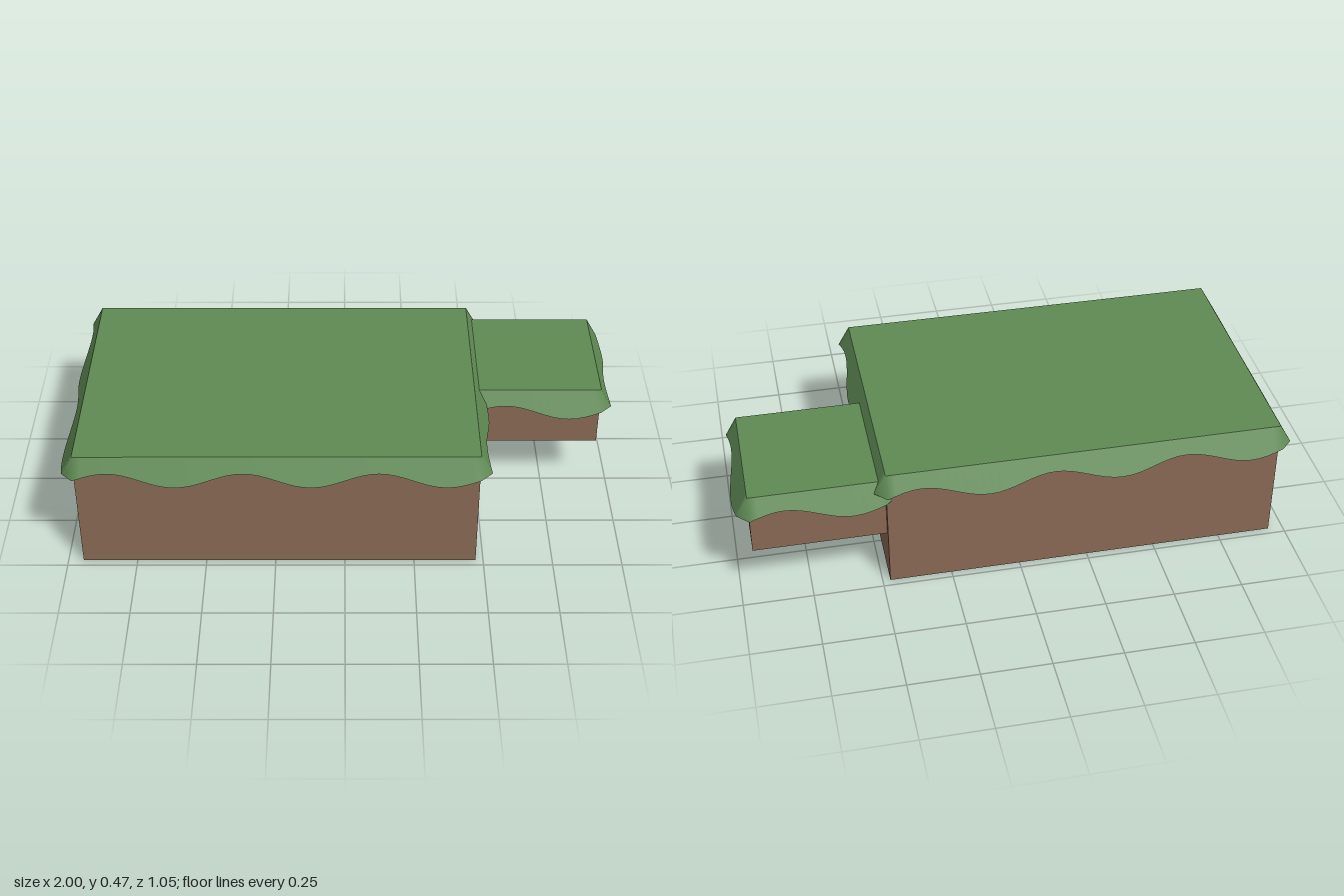
import * as THREE from 'three';
import { mergeVertices } from 'three/addons/utils/BufferGeometryUtils.js';

const TILE = 0.4727;          // one wave of the grass edge per tile
const DROP = 0.0725, WAVE = 0.021, FLARE = 0.577;
const STEPS = 16;

const grass = new THREE.MeshStandardMaterial({ color: 0x5f8a54, side: THREE.DoubleSide });
const soil = new THREE.MeshStandardMaterial({ color: 0x8a6a55 });

function surface(points, name) {
  let geo = new THREE.BufferGeometry();
  geo.setAttribute('position', new THREE.Float32BufferAttribute(points.flatMap((p) => p.toArray()), 3));
  geo = mergeVertices(geo, 1e-5);
  geo.computeVertexNormals();
  const mesh = new THREE.Mesh(geo, grass);
  mesh.name = name;
  return mesh;
}

// Soil block with a flat grass top and a flared, wavy grass overhang
function grassBlock({ name, x, z, bottom, top, tilesX, tilesZ, sides }) {
  const group = new THREE.Group();
  group.name = name;
  const w = tilesX * TILE, d = tilesZ * TILE;

  const height = top - bottom - 0.01;
  const block = new THREE.Mesh(new THREE.BoxGeometry(w, height, d), soil);
  block.position.set(x, bottom + height / 2, z);
  block.name = 'soilBlock';

  const lawn = new THREE.Mesh(new THREE.PlaneGeometry(w, d).rotateX(-Math.PI / 2), grass);
  lawn.position.set(x, top, z);
  lawn.name = 'grassTop';

  const edge = [], tabs = [];
  // Sides run counter-clockwise from the front: front, right, back, left
  for (let s = 0; s < sides; s++) {
    const out = new THREE.Vector3([0, 1, 0, -1][s], 0, [1, 0, -1, 0][s]);
    const along = new THREE.Vector3(out.z, 0, -out.x);
    const tiles = s % 2 ? tilesZ : tilesX;
    const length = tiles * TILE, depth = s % 2 ? w : d;
    const upper = (t) => new THREE.Vector3(x, top, z)
      .addScaledVector(out, depth / 2).addScaledVector(along, t - length / 2);
    const lower = (t, dir = out) => {
      const drop = DROP - WAVE * Math.sin((t / TILE) * Math.PI * 2);
      const p = upper(t).addScaledVector(dir, drop * FLARE);
      p.y -= drop;
      return p;
    };
    for (let i = 0; i < tiles * STEPS; i++) {
      const a = (i / STEPS) * TILE, b = ((i + 1) / STEPS) * TILE;
      edge.push(upper(a), lower(a), lower(b), upper(a), lower(b), upper(b));
    }
    // Corner piece at the end of the side, and small tabs where tiles meet
    for (let k = 1; k <= tiles; k++) {
      const t = k * TILE;
      (k === tiles ? edge : tabs).push(upper(t), lower(t), lower(t, along));
    }
  }
  group.add(block, lawn, surface(edge, 'grassOverhang'));
  if (tabs.length) group.add(surface(tabs, 'grassSeamTabs'));
  return group;
}

export function createModel() {
  const model = new THREE.Group();
  model.name = 'grassPlatform';
  model.add(
    grassBlock({
      name: 'mainPlatform', x: -TILE / 2, z: 0, bottom: 0, top: 0.473,
      tilesX: 3, tilesZ: 2, sides: 4,
    }),
    // The side step's fourth edge is buried in the main platform
    grassBlock({
      name: 'sideStep', x: TILE * 1.5, z: -0.2127, bottom: 0.2, top: 0.434,
      tilesX: 1, tilesZ: 1, sides: 3,
    }),
  );
  return model;
}
